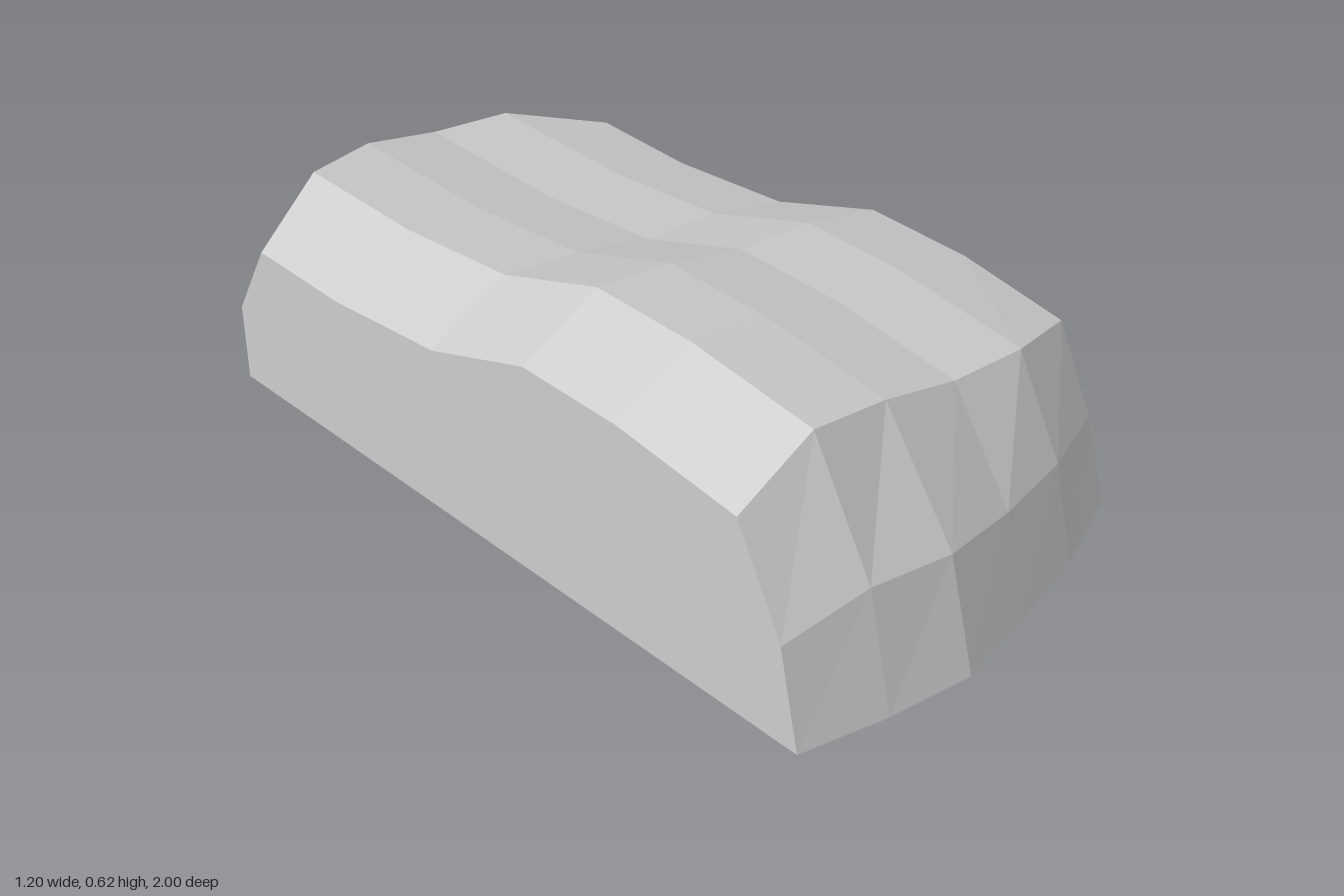
import * as THREE from 'three';

// Columns run across x, rows run along z from back to front
const colX = [-0.6, -0.395, -0.19, 0.02, 0.23, 0.445];
const colHeight = [0.525, 0.62, 0.585, 0.525, 0.5, 0.44];
const rowZ = [null, -0.475, -0.15, 0.14, 0.41, null]; // end rows follow the curved edges
const rowDrop = [0.135, 0.138, 0.105, 0, 0, 0.038];

// Curved outlines of the two ends and the bulging side
const back = { top: [-0.745, -0.81, -0.875, -0.89, -0.875, -0.745], base: [-0.85, -0.92, -0.98, -1, -0.98, -0.85] };
const front = {
  top: [0.74, 0.74, 0.74, 0.74, 0.74, 0.68],
  mid: [0.86, 0.9, 0.93, 0.9, 0.86, 0.775],
  base: [0.91, 0.965, 1, 0.96, 0.915, 0.835],
};
const sideX = [0.445, 0.48, 0.55, 0.6, 0.56, 0.445];
const LAST = 5;

// Flat-faced sheet through rows of [x, y, z] points
function sheet(rows) {
  const p = [];
  for (let i = 0; i + 1 < rows.length; i++) {
    for (let j = 0; j + 1 < rows[i].length; j++) {
      const a = rows[i][j], b = rows[i][j + 1], c = rows[i + 1][j], d = rows[i + 1][j + 1];
      p.push(...a, ...c, ...b, ...b, ...c, ...d);
    }
  }
  const g = new THREE.BufferGeometry();
  g.setAttribute('position', new THREE.Float32BufferAttribute(p, 3));
  g.computeVertexNormals();
  return g;
}

// Levels: 0 = top edge, 1 = halfway down, 2 = base
function endZ(row, col, level) {
  if (row === 0) return level === 0 ? back.top[col] : back.base[col];
  return [front.top, front.mid, front.base][level][col];
}

function point(row, col, level) {
  const isEnd = row === 0 || row === LAST;
  const x = col === LAST && level > 0 ? sideX[row] : colX[col];
  const y = (colHeight[col] - rowDrop[row]) * (1 - level / 2);
  return [x, y, isEnd ? endZ(row, col, level) : rowZ[row]];
}

export function createModel() {
  const group = new THREE.Group();
  const grey = new THREE.MeshStandardMaterial({ color: 0xcccccc, flatShading: true, side: THREE.DoubleSide });
  grey.name = 'plain grey';

  const steps = [0, 1, 2, 3, 4, 5];
  const reversed = [...steps].reverse();
  const levels = [0, 1, 2];

  const parts = {
    // Wavy upper surface
    topSurface: steps.map((r) => steps.map((c) => point(r, c, 0))),
    // Curved end walls
    frontWall: levels.map((l) => steps.map((c) => point(LAST, c, l))),
    backWall: levels.map((l) => reversed.map((c) => point(0, c, l))),
    // Bulging wall on +x and flat wall on -x; the underside stays open
    bulgingSide: levels.map((l) => reversed.map((r) => point(r, LAST, l))),
    flatSide: levels.map((l) => steps.map((r) => point(r, 0, l))),
  };

  for (const [name, rows] of Object.entries(parts)) {
    const mesh = new THREE.Mesh(sheet(rows), grey);
    mesh.name = name;
    group.add(mesh);
  }
  return group;
}
